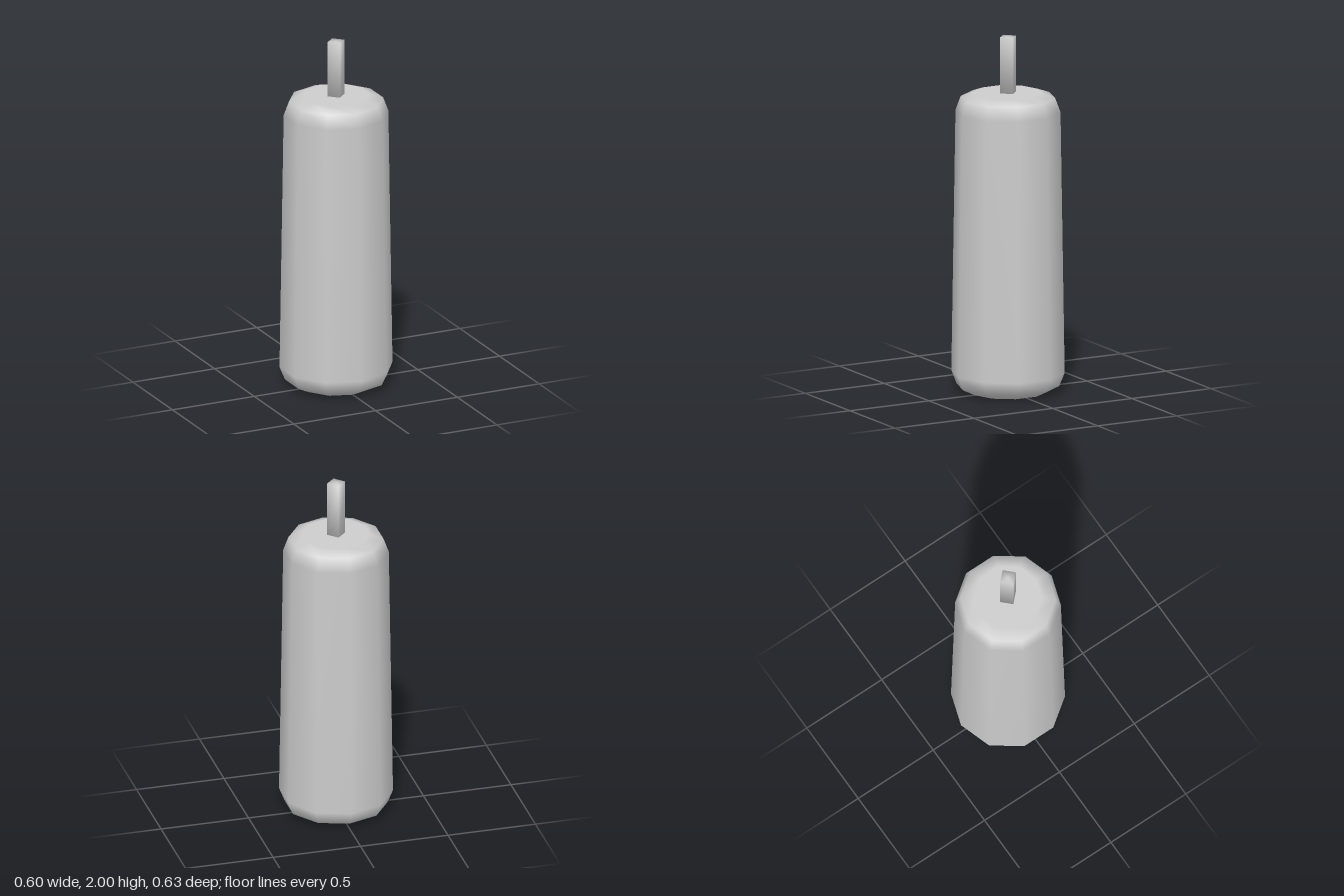
import * as THREE from 'three';

// Ten-sided lathe whose shading angle is given for each profile point:
// [radius, height, tilt of the normal above horizontal in degrees]
function roundedBody(profile, sides) {
  const points = profile.map(([r, y]) => new THREE.Vector2(r, y));
  const geometry = new THREE.LatheGeometry(points, sides);
  const normal = geometry.attributes.normal;
  for (let i = 0; i <= sides; i++) {
    const around = (i / sides) * Math.PI * 2;
    profile.forEach(([, , degrees], j) => {
      const tilt = THREE.MathUtils.degToRad(degrees);
      normal.setXYZ(i * profile.length + j,
        Math.sin(around) * Math.cos(tilt), Math.sin(tilt), Math.cos(around) * Math.cos(tilt));
    });
  }
  return geometry;
}

// Square post with softly shaded edges
function softPost(radius, height) {
  const geometry = new THREE.CylinderGeometry(radius, radius, height, 4, 1);
  const { position, normal } = geometry.attributes;
  const n = new THREE.Vector3();
  for (let i = 0; i < position.count; i++) {
    n.fromBufferAttribute(position, i);
    n.y = Math.sign(n.y) * radius * 0.6;
    n.normalize();
    normal.setXYZ(i, n.x, n.y, n.z);
  }
  return geometry;
}

export function createModel() {
  const model = new THREE.Group();
  model.name = 'candle';
  const wax = new THREE.MeshStandardMaterial({ color: 0xcccccc });
  wax.name = 'light grey';

  // Tapered body with bevelled shoulders and base
  const body = new THREE.Mesh(roundedBody([
    [0, 0, -90],
    [0.212, 0, -90],
    [0.284, 0.035, -45],
    [0.314, 0.11, 0],
    [0.291, 1.58, 1],
    [0.262, 1.658, 45],
    [0.187, 1.685, 90],
    [0, 1.685, 90],
  ], 10), wax);
  body.name = 'candleBody';
  model.add(body);

  // Wick standing on the top
  const wick = new THREE.Mesh(softPost(0.052, 0.325), wax);
  wick.name = 'wick';
  wick.position.y = 2 - 0.325 / 2;
  model.add(wick);

  return model;
}
